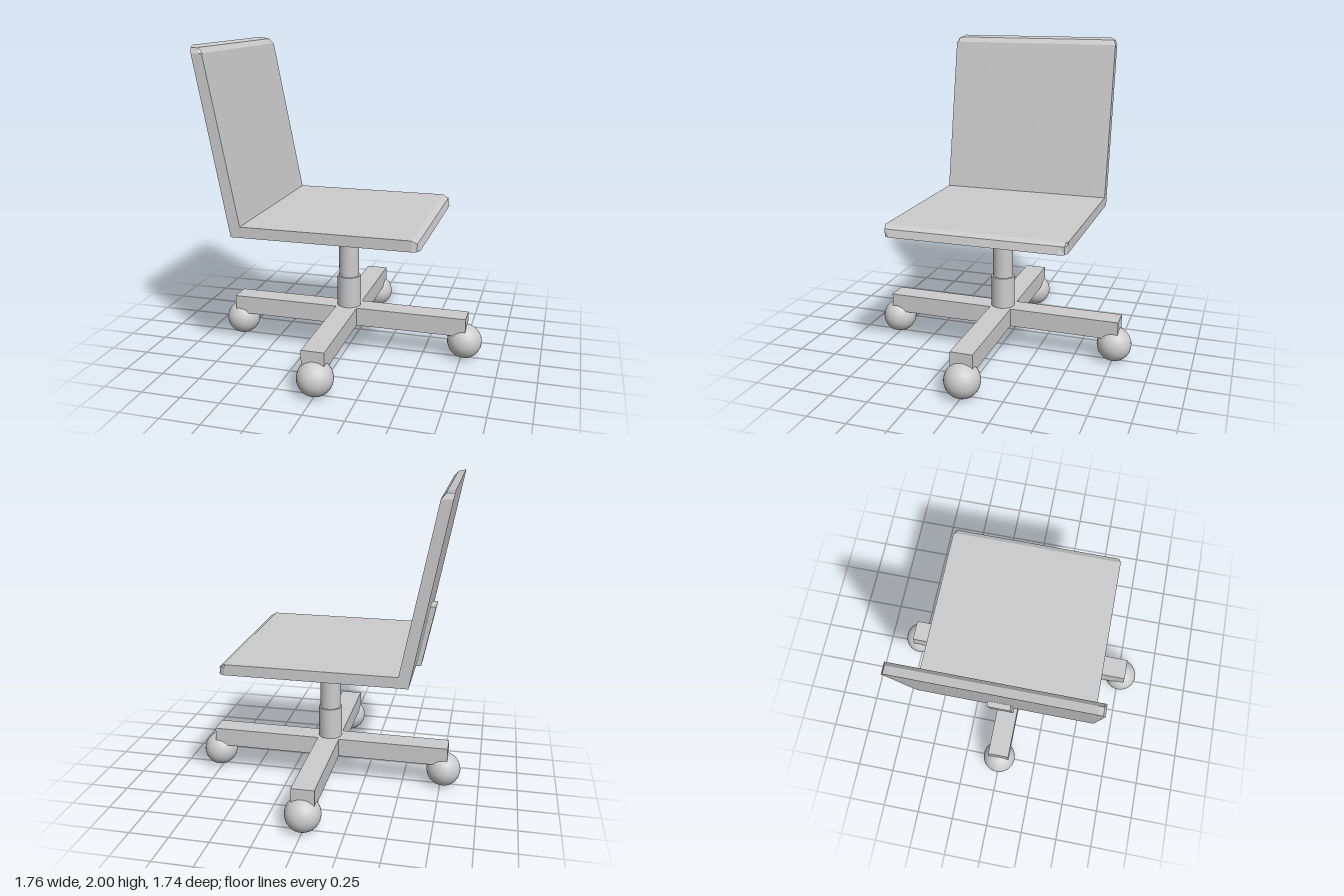
import * as THREE from 'three';

const flat = new THREE.MeshStandardMaterial({ color: 0xcccccc, flatShading: true });
const smooth = new THREE.MeshStandardMaterial({ color: 0xcccccc });

function add(group, name, geometry, material, x = 0, y = 0, z = 0) {
  const mesh = new THREE.Mesh(geometry, material);
  mesh.name = name;
  mesh.position.set(x, y, z);
  group.add(mesh);
  return mesh;
}

// Side outline of the L-shaped shell; inset shortens its two free ends.
function shellOutline(inset) {
  const tip = 0.568 - inset, top = 2 - inset;
  const backX = (y) => -0.58 - 0.191 * (y - 0.87);
  const limit = (x) => Math.min(x, tip);
  const low = Math.min(1.955, top - 0.003), mid = Math.min(1.987, top - 0.001);
  return [
    [-0.58, 0.87], [tip, 0.87], [limit(0.555), 0.918], [limit(0.521), 0.937],
    [-0.52, 0.937], [backX(low) + 0.068, low], [backX(mid) + 0.047, mid], [backX(top), top],
  ];
}

// Loft the outline across z, trimming the corners near both sides.
function shellGeometry() {
  const layers = [[-0.564, 0.045], [-0.551, 0.014], [-0.519, 0], [0.539, 0], [0.571, 0.014], [0.584, 0.045]];
  const positions = [], index = [];
  for (const [z, inset] of layers) {
    for (const [x, y] of shellOutline(inset)) positions.push(x, y, z);
  }
  const n = 8, last = (layers.length - 1) * n;
  for (let k = 0; k < layers.length - 1; k++) {
    for (let i = 0; i < n; i++) {
      const a = k * n + i, b = k * n + (i + 1) % n;
      index.push(a, b, b + n, a, b + n, a + n);
    }
  }
  // End caps
  const outline = shellOutline(0.045).map(([x, y]) => new THREE.Vector2(x, y));
  for (const [a, b, c] of THREE.ShapeUtils.triangulateShape(outline, [])) {
    index.push(c, b, a, last + a, last + b, last + c);
  }
  const geometry = new THREE.BufferGeometry();
  geometry.setAttribute('position', new THREE.Float32BufferAttribute(positions, 3));
  geometry.setIndex(index);
  const result = geometry.toNonIndexed();
  result.computeVertexNormals();
  return result;
}

export function createModel() {
  const chair = new THREE.Group();
  chair.name = 'swivelChair';

  // Seat and backrest in one bent panel
  add(chair, 'seatAndBackrest', shellGeometry(), flat);

  // Bent bracket under the seat and up the back
  const bracket = new THREE.Shape([
    [0.071, 0.833], [0.071, 0.87], [-0.58, 0.87], [-0.648, 1.228], [-0.683, 1.228], [-0.603, 0.838],
  ].map(([x, y]) => new THREE.Vector2(x, y)));
  add(chair, 'supportBracket', new THREE.ExtrudeGeometry(bracket, { depth: 0.142, bevelEnabled: false }),
    flat, 0, 0, -0.071);

  // Telescopic column
  add(chair, 'upperColumn', new THREE.CylinderGeometry(0.066, 0.066, 0.355, 32), smooth, -0.006, 0.6575, 0);
  add(chair, 'lowerColumn', new THREE.CylinderGeometry(0.077, 0.077, 0.21, 32), smooth, -0.006, 0.385, 0);

  // Crossed base arms
  add(chair, 'baseArmX', new THREE.BoxGeometry(1.574, 0.12, 0.142), flat, -0.007, 0.225, -0.003);
  add(chair, 'baseArmZ', new THREE.BoxGeometry(0.142, 0.12, 1.568), flat, -0.007, 0.225, -0.004);

  // Ball casters
  const ball = new THREE.SphereGeometry(0.111, 32, 20);
  for (const side of [-1, 1]) {
    add(chair, 'casterX', ball, smooth, side * 0.768, 0.111, -0.004);
    add(chair, 'casterZ', ball, smooth, 0, 0.111, side * 0.757);
  }
  return chair;
}
